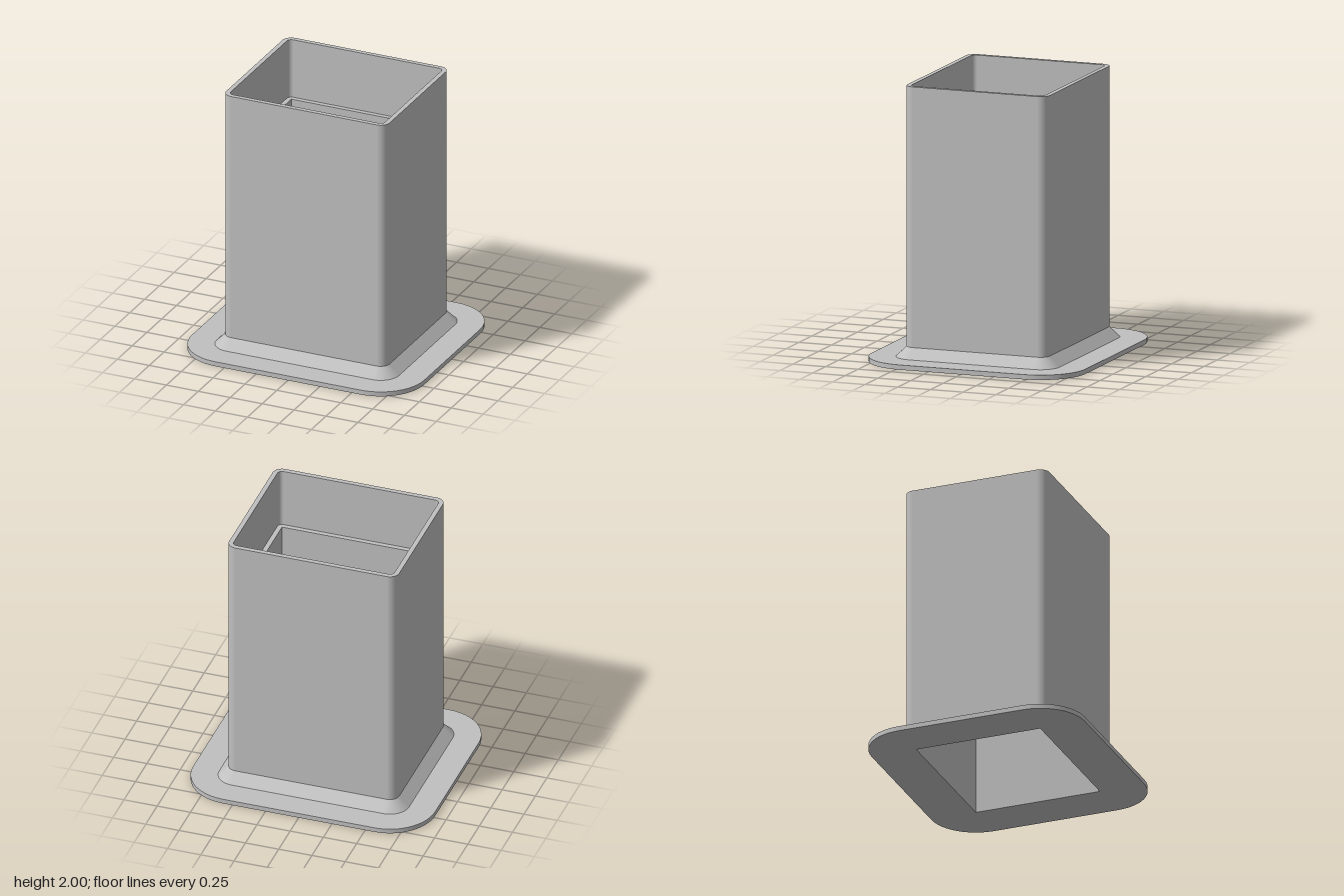
import * as THREE from 'three';

// Every outline is the same sharp rectangular opening, grown outward by an offset
const HALF_X = 0.57, HALF_Z = 0.475, ARC_STEPS = 12;

// Points around the opening: corner position plus outward direction
function outline() {
  const points = [];
  [[1, 1], [-1, 1], [-1, -1], [1, -1]].forEach(([sx, sz], corner) => {
    for (let i = 0; i <= ARC_STEPS; i++) {
      const a = (corner + i / ARC_STEPS) * Math.PI / 2;
      points.push({ x: sx * HALF_X, z: sz * HALF_Z, nx: Math.cos(a), nz: Math.sin(a) });
    }
  });
  return points;
}

// Sweeps a profile of [offset, y] pairs around the opening, each segment a crisp band
function sweep(name, profile, material) {
  const ring = outline(), n = ring.length;
  const positions = [], normals = [], indices = [];
  for (let s = 0; s < profile.length - 1; s++) {
    const [o0, y0] = profile[s], [o1, y1] = profile[s + 1];
    const length = Math.hypot(o1 - o0, y1 - y0);
    const out = (y1 - y0) / length, up = (o0 - o1) / length;
    const base = positions.length / 3;
    for (const p of ring) {
      for (const [o, y] of [[o0, y0], [o1, y1]]) {
        positions.push(p.x + p.nx * o, y, p.z + p.nz * o);
        normals.push(p.nx * out, up, p.nz * out);
      }
    }
    for (let i = 0; i < n; i++) {
      const a = base + i * 2, b = base + ((i + 1) % n) * 2;
      const straight = i % (ARC_STEPS + 1) === ARC_STEPS;
      // Sharp corners have no arc, so their empty triangles are left out
      if (straight || o0 > 0) indices.push(a, a + 1, b);
      if (straight || o1 > 0) indices.push(b, a + 1, b + 1);
    }
  }
  const geometry = new THREE.BufferGeometry();
  geometry.setAttribute('position', new THREE.Float32BufferAttribute(positions, 3));
  geometry.setAttribute('normal', new THREE.Float32BufferAttribute(normals, 3));
  geometry.setIndex(indices);
  const mesh = new THREE.Mesh(geometry, material);
  mesh.name = name;
  return mesh;
}

export function createModel() {
  const grey = new THREE.MeshStandardMaterial({ color: 0xc0c0c0 });
  grey.name = 'grey';

  const model = new THREE.Group();
  model.name = 'flangedTube';
  model.add(
    // Flat base plate: underside, rim and top
    sweep('baseFlange', [[0, 0], [0.34, 0], [0.34, 0.035], [0.145, 0.035]], grey),
    // Sloped collar between plate and tube
    sweep('collar', [[0.145, 0.035], [0.07, 0.11]], grey),
    // Tube wall, top rim and the wider socket inside the top
    sweep('tube', [[0.07, 0.11], [0.07, 2], [0.035, 2], [0.035, 1.55]], grey),
    // Ledge inside the socket and the square-cornered passage below it
    sweep('innerPassage', [[0.035, 1.55], [0, 1.55], [0, 0]], grey),
  );
  return model;
}
